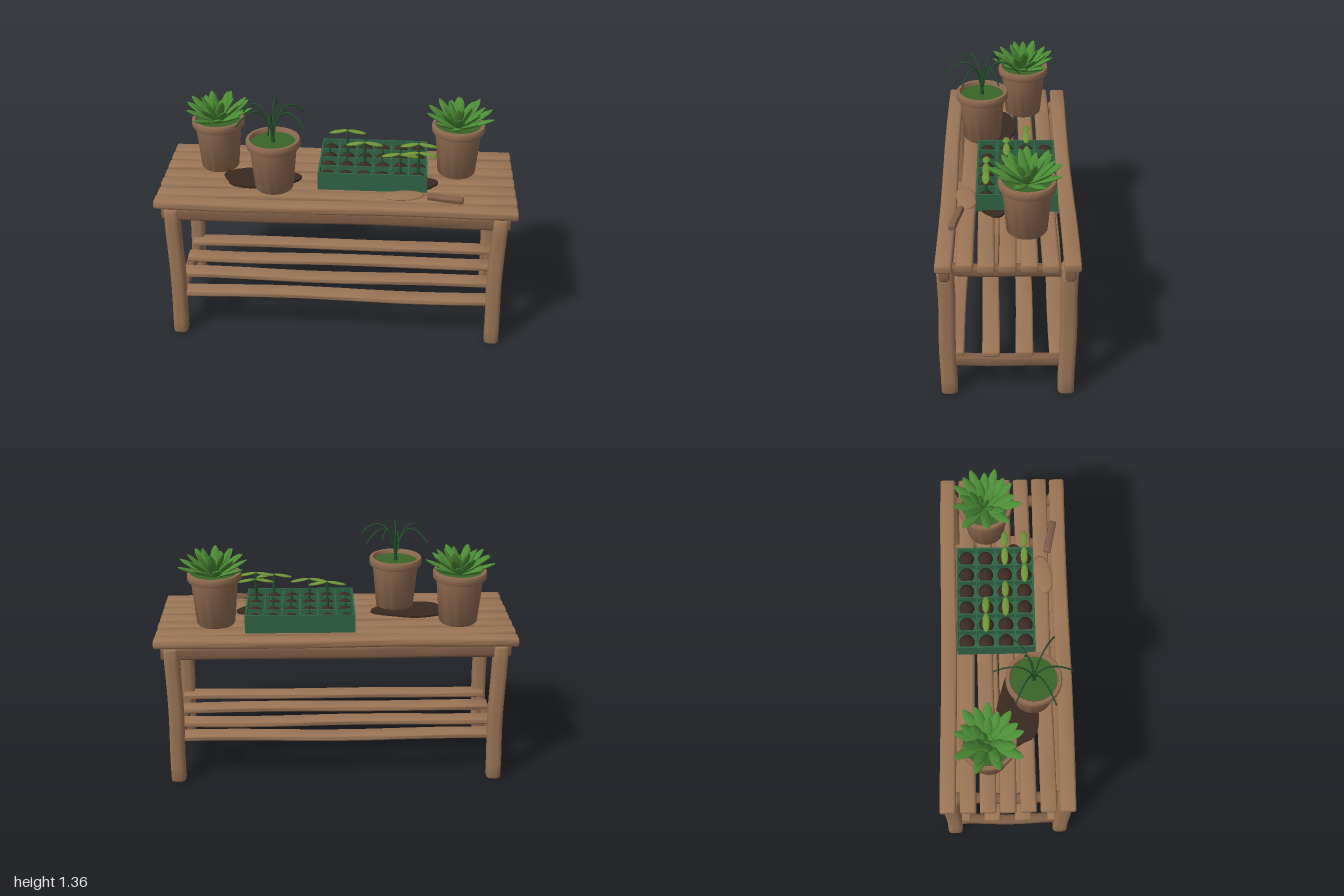
import * as THREE from 'three';
import { mergeVertices, toCreasedNormals } from 'three/addons/utils/BufferGeometryUtils.js';

const mat = (name, color, side = THREE.FrontSide) => {
  const m = new THREE.MeshStandardMaterial({ color, side });
  m.name = name;
  return m;
};

export function createModel() {
  const root = new THREE.Group();
  root.name = 'pottingBench';
  const wood = mat('wood', 0x9a7556);
  const darkWood = mat('darkWood', 0x7f5e46);
  const clay = mat('clay', 0x8f6a50, THREE.DoubleSide);
  const soil = mat('soil', 0x3a2a20);
  const moss = mat('moss', 0x3b6429);
  const leafGreen = mat('leafGreen', 0x4c8c36);
  const grassGreen = mat('grassGreen', 0x24502c);
  const trayGreen = mat('trayGreen', 0x2f6446);
  const sproutGreen = mat('sproutGreen', 0x6f9638);

  const add = (parent, name, geo, material, x = 0, y = 0, z = 0) => {
    const m = new THREE.Mesh(geo, material);
    m.name = name;
    m.position.set(x, y, z);
    parent.add(m);
    return m;
  };

  // Rough-hewn timber: rounded rectangle section w x h, extruded along z and gently bowed
  const timber = (w, h, len, seed = 0, wobble = 0.004) => {
    const b = 0.008, a = w / 2 - b, c = h / 2 - b, r = Math.min(a, c) * 0.55;
    const s = new THREE.Shape();
    s.moveTo(-a + r, -c).lineTo(a - r, -c).quadraticCurveTo(a, -c, a, -c + r);
    s.lineTo(a, c - r).quadraticCurveTo(a, c, a - r, c);
    s.lineTo(-a + r, c).quadraticCurveTo(-a, c, -a, c - r);
    s.lineTo(-a, -c + r).quadraticCurveTo(-a, -c, -a + r, -c);
    let g = new THREE.ExtrudeGeometry(s, {
      depth: len - 2 * b, steps: 10, curveSegments: 3,
      bevelEnabled: true, bevelThickness: b, bevelSize: b, bevelSegments: 2,
    });
    g.translate(0, 0, b - len / 2);
    const p = g.attributes.position;
    for (let i = 0; i < p.count; i++) {
      const t = p.getZ(i) / len;
      p.setX(i, p.getX(i) + wobble * Math.sin(t * 7 + seed * 1.9));
      p.setY(i, p.getY(i) + wobble * 0.7 * Math.sin(t * 9 + seed * 2.7));
    }
    g.deleteAttribute('normal');
    g.deleteAttribute('uv');
    g = mergeVertices(g, 1e-4);
    return toCreasedNormals(g, 0.9);
  };
  const alongX = (g) => g.rotateY(Math.PI / 2);

  // Bench top
  const bench = new THREE.Group();
  bench.name = 'bench';
  root.add(bench);
  [0.32, 0.212, 0.11, 0.002, -0.112, -0.215, -0.32].forEach((z, i) =>
    add(bench, 'topSlat', alongX(timber(0.088, 0.05, 1.99, i)), wood, 0, 0.852, z));

  // Legs and long rails
  for (const z of [0.315, -0.315]) {
    for (const x of [0.9, -0.9])
      add(bench, 'leg', timber(0.082, 0.088, 0.82, x + z * 5).rotateX(Math.PI / 2), wood, x, 0.41, z);
    add(bench, 'longRail', alongX(timber(0.055, 0.075, 1.92, z)), darkWood, 0, 0.79, z);
  }

  // End rails
  for (const x of [0.9, -0.9]) {
    add(bench, 'upperEndRail', timber(0.055, 0.06, 0.62, x), darkWood, x, 0.785, 0);
    add(bench, 'lowerEndRail', timber(0.055, 0.062, 0.6, x), darkWood, x, 0.205, 0);
  }

  // Lower shelf
  [0.275, 0.093, -0.09, -0.27].forEach((z, i) =>
    add(bench, 'shelfSlat', alongX(timber(0.095, 0.034, 1.84, i + 8, 0.005)), wood, 0, 0.253, z));

  // Plant pots with hollow rims
  const potProfile = [
    [0, 0], [0.1, 0], [0.107, 0.008], [0.13, 0.252], [0.146, 0.256], [0.15, 0.264],
    [0.15, 0.292], [0.146, 0.3], [0.13, 0.3], [0.126, 0.293], [0.122, 0.25],
  ].map(([x, y]) => new THREE.Vector2(x, y));
  const makePot = (name, x, z) => {
    const g = new THREE.Group();
    g.name = name;
    g.position.set(x, 0.88, z);
    root.add(g);
    add(g, 'pot', toCreasedNormals(new THREE.LatheGeometry(potProfile, 28), 0.7), clay);
    add(g, 'mossTop', new THREE.CylinderGeometry(0.126, 0.122, 0.02, 24), moss, 0, 0.268, 0);
    return g;
  };

  // Succulents: rings of fleshy pointed leaves
  const leafProfile = [[0, 0], [0.3, 0.06], [0.75, 0.35], [1, 0.62], [0.75, 0.84], [0.35, 0.95], [0, 1]];
  const leafGeo = (len, w) => {
    const pts = leafProfile.map(([r, t]) => new THREE.Vector2(r * w, t * len));
    const g = new THREE.LatheGeometry(pts, 10).scale(0.4, 1, 1);
    g.computeVertexNormals();
    return g;
  };
  const rings = [[9, 1.12, 0.225, 0.028], [8, 0.85, 0.215, 0.028], [6, 0.5, 0.185, 0.025], [3, 0.2, 0.13, 0.02]];
  [[-0.69, -0.1], [0.67, -0.1]].forEach(([x, z], k) => {
    const pot = makePot('succulentPot', x, z);
    rings.forEach(([n, tilt, len, w], j) => {
      for (let i = 0; i < n; i++) {
        const holder = new THREE.Group();
        holder.name = 'succulentLeaf';
        holder.position.y = 0.268;
        holder.rotation.y = ((i + j * 0.5) / n) * Math.PI * 2 + k * 0.4;
        pot.add(holder);
        const wave = Math.sin(i * 2.3 + j + k);
        add(holder, 'leaf', leafGeo(len * (0.96 + 0.05 * wave), w), leafGreen).rotation.z = -tilt - 0.06 * wave;
      }
    });
  });

  // Grassy plant with arching blades
  const grassPot = makePot('grassPot', -0.35, 0.145);
  add(grassPot, 'grassStem', new THREE.CylinderGeometry(0.006, 0.012, 0.1, 8), grassGreen, 0, 0.32, 0);
  for (let i = 0; i < 7; i++) {
    const a = Math.PI / 6 + (i * Math.PI) / 3, s = i === 6 ? 0.45 : i % 2 ? 1 : 0.92;
    const at = (r, y) => new THREE.Vector3(Math.cos(a) * r * s, y, -Math.sin(a) * r * s);
    const path = new THREE.CubicBezierCurve3(at(0, 0.28), at(0.015, 0.44), at(0.09, 0.56), at(0.215, 0.41));
    add(grassPot, 'grassBlade', new THREE.TubeGeometry(path, 16, 0.0045, 5), grassGreen);
  }

  // Seed tray: floor, walls and dividers
  const tray = new THREE.Group();
  tray.name = 'seedTray';
  tray.position.set(0.1975, 0.88, -0.05);
  root.add(tray);
  const W = 0.605, D = 0.434, H = 0.104, px = W / 6, pz = D / 4;
  add(tray, 'trayFloor', new THREE.BoxGeometry(W, 0.04, D), trayGreen, 0, 0.02, 0);
  for (let i = 0; i <= 6; i++) {
    const edge = i % 6 === 0, t = edge ? 0.01 : 0.007, h = edge ? H : H - 0.008;
    add(tray, 'crossWall', new THREE.BoxGeometry(t, h, D), trayGreen, (i - 3) * (px - 0.0015), h / 2, 0);
  }
  for (let j = 0; j <= 4; j++) {
    const edge = j % 4 === 0, t = edge ? 0.01 : 0.007, h = edge ? H : H - 0.008;
    add(tray, 'longWall', new THREE.BoxGeometry(W, h, t), trayGreen, 0, h / 2, (j - 2) * (pz - 0.0025));
  }

  // Soil plugs
  const cell = (i, j) => [(i - 2.5) * px, (j - 1.5) * pz];
  const plug = new THREE.SphereGeometry(0.043, 14, 8).scale(1, 0.85, 1);
  for (let i = 0; i < 6; i++)
    for (let j = 0; j < 4; j++) {
      const [x, z] = cell(i, j);
      add(tray, 'soilPlug', plug, soil, x, 0.058, z);
    }

  // Seedlings with paired leaves
  const seedLeaf = new THREE.SphereGeometry(1, 12, 6).scale(0.055, 0.007, 0.02);
  [[1, 1, 0.235], [2, 2, 0.215], [5, 2, 0.215], [4, 3, 0.205], [5, 3, 0.215]].forEach(([i, j, top]) => {
    const [x, z] = cell(i, j);
    const plant = new THREE.Group();
    plant.name = 'seedling';
    plant.position.set(x, 0, z);
    tray.add(plant);
    add(plant, 'stem', new THREE.CylinderGeometry(0.006, 0.009, top - 0.08, 8), grassGreen, 0, top / 2 + 0.04, 0);
    for (const s of [1, -1])
      add(plant, 'seedLeaf', seedLeaf, sproutGreen, s * 0.052, top - 0.005, 0).rotation.z = -s * 0.18;
  });

  // Young shoots
  [[0, 1], [3, 1], [3, 2], [1, 2], [2, 0], [4, 1]].forEach(([i, j]) => {
    const [x, z] = cell(i, j);
    add(tray, 'shoot', new THREE.ConeGeometry(0.007, 0.09, 7), grassGreen, x, 0.13, z);
  });

  // Spilled soil
  const spill = (x, z, rx, rz) => {
    const s = new THREE.Shape();
    for (let k = 0; k < 28; k++) {
      const a = (k / 28) * Math.PI * 2, r = 1 + 0.06 * Math.sin(a * 3 + 1) + 0.04 * Math.sin(a * 5);
      s[k ? 'lineTo' : 'moveTo'](Math.cos(a) * r * rx, Math.sin(a) * r * rz);
    }
    const g = new THREE.ExtrudeGeometry(s, { depth: 0.012, bevelEnabled: false }).rotateX(-Math.PI / 2);
    add(root, 'spilledSoil', g, soil, x, 0.879, z);
  };
  spill(-0.435, 0.06, 0.215, 0.115);
  spill(0.42, 0.07, 0.135, 0.085);

  // Hand trowel
  const trowel = new THREE.Group();
  trowel.name = 'trowel';
  trowel.position.set(0.37, 0.888, 0.222);
  trowel.rotation.y = -0.2;
  root.add(trowel);
  const blade = new THREE.SphereGeometry(1, 20, 8).scale(0.12, 0.012, 0.054);
  add(trowel, 'trowelBlade', blade, wood).rotation.y = 0.35;
  add(trowel, 'trowelHandle', alongX(timber(0.042, 0.03, 0.2, 2, 0.001)), darkWood, 0.235, 0.015, 0)
    .rotation.x = 0.25;

  return root;
}
